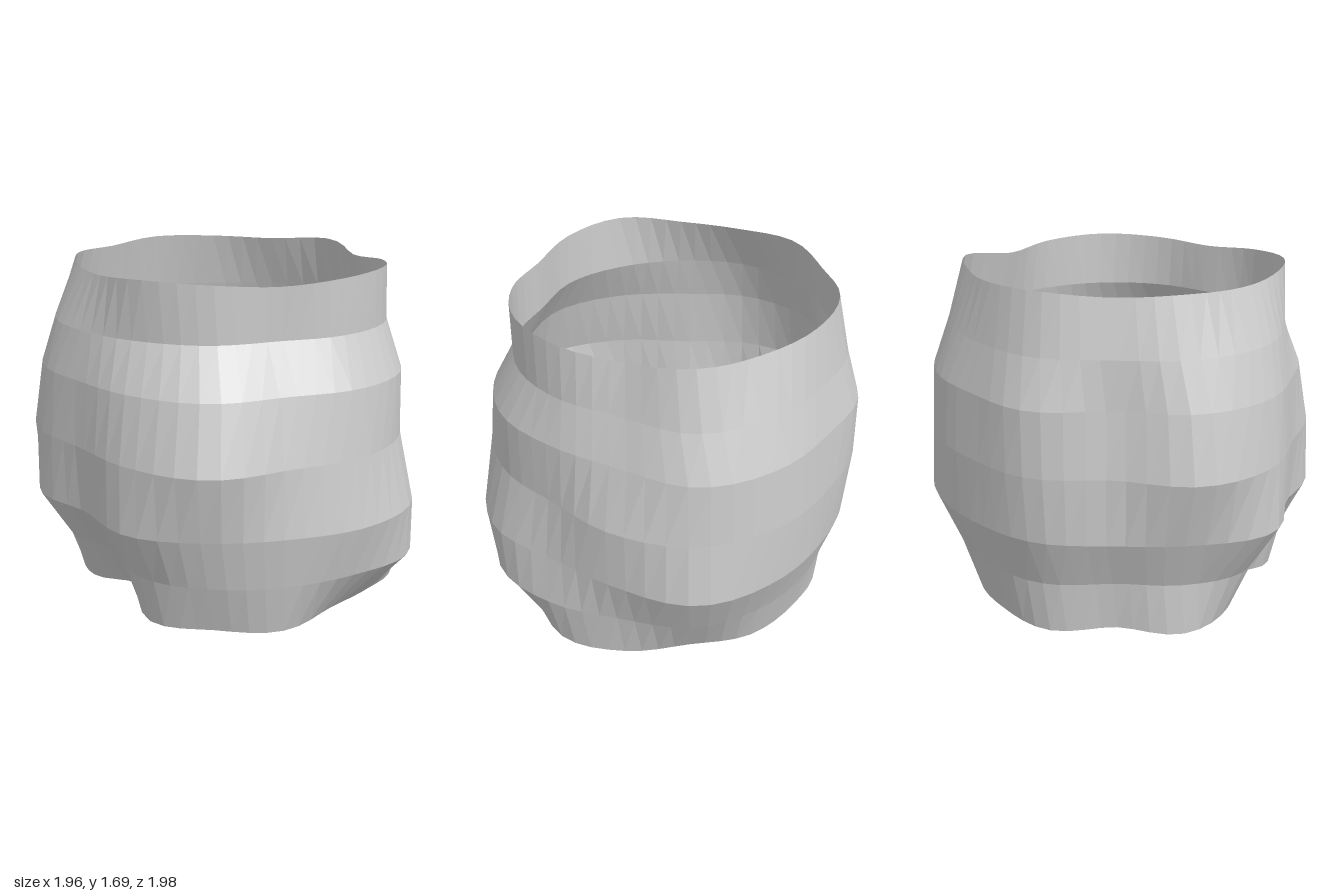
import * as THREE from 'three';

// Each ring: height, rim waviness, and radii at 15 even angles (from +x towards +z)
const RINGS = [
  { y: 0.02, wave: 0.25, r: [.77, .74, .81, .78, .78, .59, .73, .80, .72, .80, .78, .78, .75, .81, .86] },
  { y: 0.265, wave: 0.15, r: [.97, .90, .87, .86, .84, .72, .83, .80, .75, .82, .84, .86, .88, .85, .91] },
  { y: 0.52, wave: 0, r: [.98, .97, .92, .93, .96, .87, .99, .90, .85, .91, .92, .97, 1.01, .91, .88] },
  { y: 0.85, wave: 0, r: [.90, .92, .90, 1.01, .95, .89, .98, 1.0, .86, .94, .93, .97, .98, .92, .85] },
  { y: 1.17, wave: 0, r: [.89, .88, .83, .91, .89, .87, .94, .94, .83, .94, .91, .95, .96, .84, .84] },
  { y: 1.40, wave: 0, r: [.79, .76, .71, .77, .79, .82, .87, .87, .82, .87, .85, .87, .88, .77, .78] },
  { y: 1.67, wave: -0.4, r: [.79, .76, .72, .77, .80, .75, .75, .79, .77, .81, .79, .77, .81, .71, .76] },
];
const SEGMENTS = 60;
const TWIST = 0.32; // radians per unit of height

// Smooth closed outline through the ring's radii, sampled at twisted angles
function ringPoints({ y, wave, r }) {
  const curve = new THREE.CatmullRomCurve3(r.map((v) => new THREE.Vector3(v, 0, 0)), true, 'catmullrom', 0.5);
  const mean = r.reduce((a, b) => a + b) / r.length;
  const points = [];
  for (let i = 0; i < SEGMENTS; i++) {
    const turn = (i / SEGMENTS - (TWIST * y) / (2 * Math.PI) + 1) % 1;
    const radius = curve.getPoint(turn).x;
    const a = turn * 2 * Math.PI;
    points.push(radius * Math.cos(a), y + wave * (mean - radius), radius * Math.sin(a));
  }
  return points;
}

export function createModel() {
  const positions = RINGS.flatMap(ringPoints);

  // Bands of quads between neighbouring rings, facing outwards
  const index = [];
  for (let k = 0; k < RINGS.length - 1; k++) {
    for (let i = 0; i < SEGMENTS; i++) {
      const a = k * SEGMENTS + i;
      const b = k * SEGMENTS + ((i + 1) % SEGMENTS);
      const c = a + SEGMENTS;
      const d = b + SEGMENTS;
      index.push(a, c, d, a, d, b);
    }
  }

  const indexed = new THREE.BufferGeometry();
  indexed.setAttribute('position', new THREE.Float32BufferAttribute(positions, 3));
  indexed.setIndex(index);
  const geometry = indexed.toNonIndexed();
  geometry.computeVertexNormals();

  // Open, thin barrel shell
  const shell = new THREE.Mesh(
    geometry,
    new THREE.MeshStandardMaterial({ color: 0xcccccc, flatShading: true, side: THREE.DoubleSide })
  );
  shell.name = 'barrelShell';

  const group = new THREE.Group();
  group.name = 'twistedOpenBarrel';
  group.add(shell);
  return group;
}
